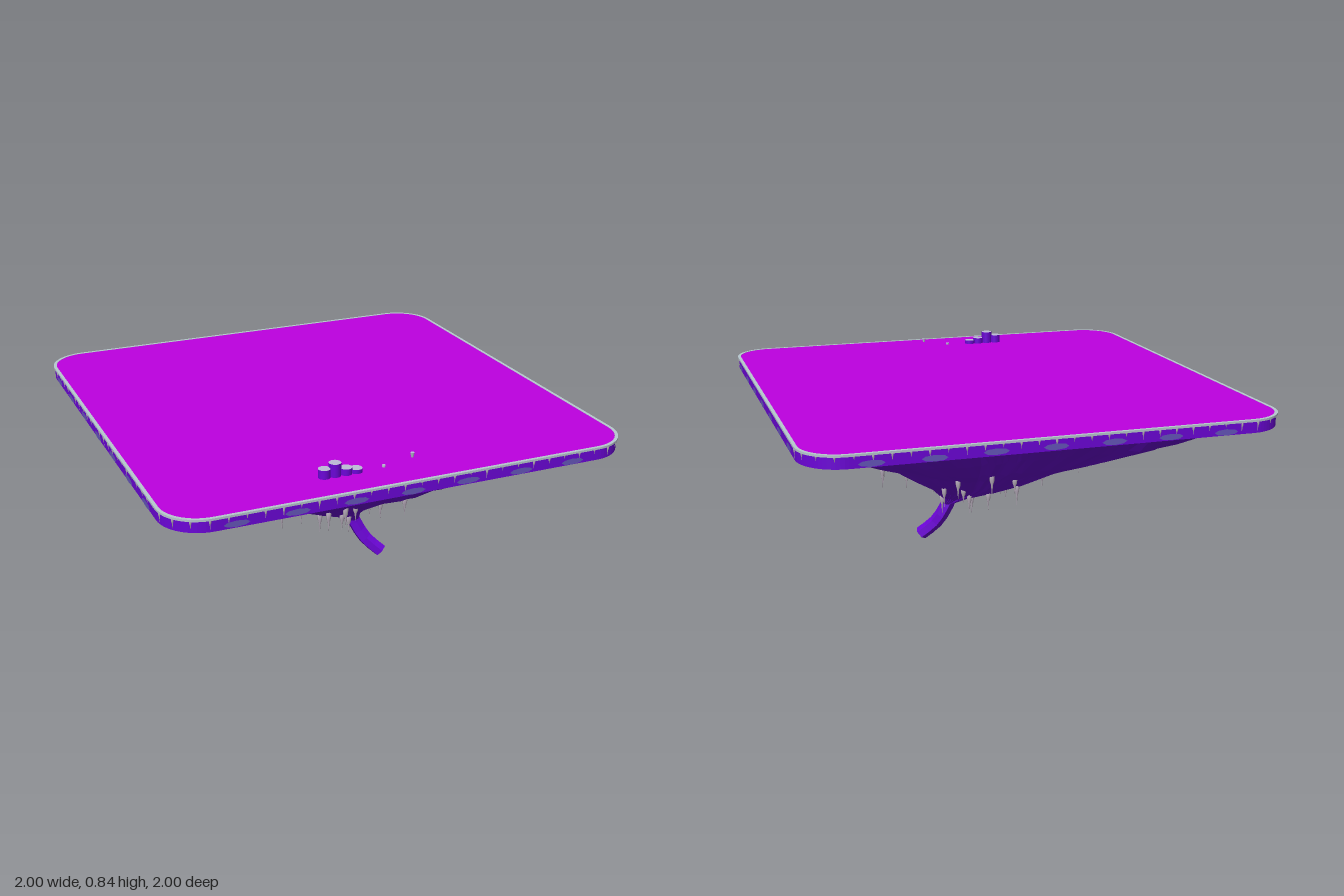
import * as THREE from 'three';

const mat = (name, color) => {
  const m = new THREE.MeshStandardMaterial({ color });
  m.name = name;
  return m;
};

// seeded random numbers
let seed = 7;
const rand = () => {
  seed = (seed * 16807) % 2147483647;
  return seed / 2147483647;
};

function roundedSquare(h, r, Type = THREE.Shape) {
  const s = new Type();
  s.moveTo(h, -h + r);
  s.absarc(h - r, h - r, r, 0, Math.PI / 2);
  s.absarc(-h + r, h - r, r, Math.PI / 2, Math.PI);
  s.absarc(-h + r, -h + r, r, Math.PI, Math.PI * 1.5);
  s.absarc(h - r, -h + r, r, Math.PI * 1.5, Math.PI * 2);
  return s;
}

function slab(shape, y, depth) {
  const g = new THREE.ExtrudeGeometry(shape, { depth, bevelEnabled: false, curveSegments: 8 });
  return g.rotateX(-Math.PI / 2).translate(0, y, 0);
}

function frame(h, inner) {
  const s = roundedSquare(h, 0.172);
  s.holes.push(roundedSquare(inner, 0.172 - (h - inner), THREE.Path));
  return s;
}

// rock profile: height, radius, centre x, centre z, squareness exponent
const RINGS = [
  [0.757, 0.92, 0, 0, 9],
  [0.72, 0.895, 0, 0, 9],
  [0.63, 0.775, 0, 0, 5],
  [0.53, 0.635, 0.01, 0.01, 2.5],
  [0.445, 0.465, 0.02, 0.02, 2],
  [0.355, 0.315, 0.035, 0.03, 2],
  [0.28, 0.175, 0.06, 0.05, 2],
  [0.225, 0.075, 0.11, 0.075, 2],
  [0.185, 0.028, 0.145, 0.09, 2],
];

function ringPoint(ring, a, grow = 1) {
  const [y, r, cx, cz, n] = ring;
  const c = Math.cos(a), s = Math.sin(a);
  const d = r * grow * (Math.abs(c) ** n + Math.abs(s) ** n) ** (-1 / n);
  return new THREE.Vector3(cx + c * d, y, cz + s * d);
}

// faceted cone with radial ridges
function rockGeometry() {
  const N = 180, pos = [], idx = [];
  const ridge = Array.from({ length: N }, () => rand() - 0.5);
  RINGS.forEach((ring, k) => {
    for (let j = 0; j < N; j++) {
      const amount = k < 2 ? 0.015 : 0.06;
      const grow = 1 + amount * ridge[j] + (k ? 0.015 * (rand() - 0.5) : 0);
      pos.push(...ringPoint(ring, (j / N) * Math.PI * 2, grow).toArray());
    }
  });
  for (let k = 0; k < RINGS.length - 1; k++) {
    for (let j = 0; j < N; j++) {
      const a = k * N + j, b = k * N + (j + 1) % N;
      idx.push(a, b, a + N, b, b + N, a + N);
    }
  }
  const g = new THREE.BufferGeometry();
  g.setAttribute('position', new THREE.Float32BufferAttribute(pos, 3));
  g.setIndex(idx);
  const flat = g.toNonIndexed();
  flat.computeVertexNormals();
  return flat;
}

export function createModel() {
  seed = 7;
  const model = new THREE.Group();
  const rock = mat('rock purple', 0x6c04d8);
  const top = mat('magenta ground', 0xbe00e0);
  const under = mat('plum underside', 0xb400b0);
  const frost = mat('pale grey', 0xb8c8d0);
  const postTop = mat('lavender grey', 0xbebcd8);
  const patchMat = mat('slate patch', 0x6656bc);
  const spikeMat = mat('spike grey', 0xbcb0c0);

  const add = (name, geo, material, parent = model) => {
    const m = new THREE.Mesh(geo, material);
    m.name = name;
    parent.add(m);
    return m;
  };
  const group = (name, parent = model) => {
    const g = new THREE.Group();
    g.name = name;
    parent.add(g);
    return g;
  };

  // platform: hanging rim, recessed underside, ground and edging
  add('platformRim', slab(frame(0.994, 0.972), 0.73, 0.05), rock);
  add('underside', slab(roundedSquare(0.974, 0.152), 0.755, 0.02), under);
  add('ground', slab(roundedSquare(0.986, 0.162), 0.779, 0.006), top);
  add('frostEdge', slab(frame(0.999, 0.985), 0.777, 0.009), frost);
  add('innerFrostEdge', slab(frame(0.974, 0.966), 0.749, 0.008), frost);

  // hanging rock
  add('hangingRock', rockGeometry(), rock);

  // bent root at the tip, with its end cap
  const path = new THREE.CatmullRomCurve3([
    new THREE.Vector3(0.135, 0.215, 0.085), new THREE.Vector3(0.168, 0.14, 0.1),
    new THREE.Vector3(0.2, 0.085, 0.122), new THREE.Vector3(0.262, 0.024, 0.156),
  ]);
  const tube = new THREE.TubeGeometry(path, 5, 0.032, 6).toNonIndexed();
  tube.computeVertexNormals();
  add('root', tube, rock);
  const cap = add('rootEnd', new THREE.CircleGeometry(0.032, 6), rock);
  cap.position.copy(path.getPoint(1));
  cap.lookAt(path.getPoint(1).add(path.getTangent(1)));

  // flat patches around the rim
  const patches = group('rimPatches');
  const patchGeo = new THREE.CircleGeometry(1, 8);
  for (let side = 0; side < 4; side++) {
    const row = group('rimPatchRow', patches);
    row.rotation.y = side * Math.PI / 2;
    for (let i = 0; i < 7; i++) {
      const p = add('rimPatch', patchGeo, patchMat, row);
      p.position.set(-0.74 + i * 0.24, 0.743 + 0.006 * rand(), 0.997);
      p.scale.set(0.052, 0.013, 1);
    }
  }

  // spikes hanging from the rock: a blunt head and a thin tail
  const spikeGeo = new THREE.LatheGeometry(
    [[0, -1], [0.35, -0.5], [0.75, -0.35], [1, 0], [0, 0.02]].map(([x, y]) => new THREE.Vector2(x, y)), 6);
  const spikes = group('spikes');
  const spike = (p, r, len) => {
    const s = add('spike', spikeGeo, spikeMat, spikes);
    s.position.copy(p);
    s.scale.set(r, len, r);
  };
  const spots = [ // ring number, then x and z position
    [3, -0.62, 0.04], [3, -0.38, 0.54], [3, -0.14, 0.63], [3, 0.13, 0.65], [3, 0.16, -0.63],
    [3, 0.55, 0.34], [3, 0.62, 0.28], [3, 0.55, -0.37], [3, 0.64, 0.04], [4, -0.42, -0.17],
    [4, -0.4, 0.1], [4, 0.22, 0.4], [4, 0, -0.43], [4, -0.02, 0.44], [4, 0.48, -0.04],
    [4, 0.22, -0.36], [4, -0.43, 0.03], [5, -0.25, 0.14], [5, -0.07, 0.3], [5, 0.37, 0.11],
    [5, 0.27, -0.23], [5, 0.18, -0.27], [5, -0.25, -0.1], [5, 0.18, 0.31], [5, -0.07, -0.26],
    [6, -0.08, 0], [6, -0.06, 0.18], [6, 0.02, -0.1], [6, 0.1, -0.1], [6, 0.03, 0.23],
    [6, 0.2, 0.15], [6, -0.09, 0.08], [7, 0.1, 0.14], [7, 0.18, 0.06], [7, 0.06, 0.04],
  ];
  for (const [k, x, z] of spots) {
    const a = Math.atan2(z - RINGS[k][3], x - RINGS[k][2]);
    const p = ringPoint(RINGS[k], a);
    p.y += 0.012;
    spike(p, 0.013, 0.075 + 0.03 * rand());
  }
  // tiny spikes along the platform edge
  for (const p of roundedSquare(0.994, 0.17).getSpacedPoints(84)) {
    spike(new THREE.Vector3(p.x, 0.782, p.y), 0.006, 0.02 + 0.03 * rand());
  }

  // stepped posts and small pebbles on the ground
  const posts = group('posts');
  [[-0.32, 0.822], [-0.275, 0.84], [-0.228, 0.812], [-0.184, 0.802]].forEach(([x, y]) => {
    const h = y - 0.78;
    const p = add('post', new THREE.CylinderGeometry(0.025, 0.025, h, 14), [rock, postTop, rock], posts);
    p.position.set(x, 0.78 + h / 2, 0.825);
  });
  add('pebble', new THREE.CylinderGeometry(0.008, 0.008, 0.01, 8), postTop, posts).position.set(-0.065, 0.788, 0.825);
  add('floatingPebble', new THREE.CylinderGeometry(0.009, 0.005, 0.02, 8), postTop, posts)
    .position.set(0.06, 0.815, 0.825);

  return model;
}
